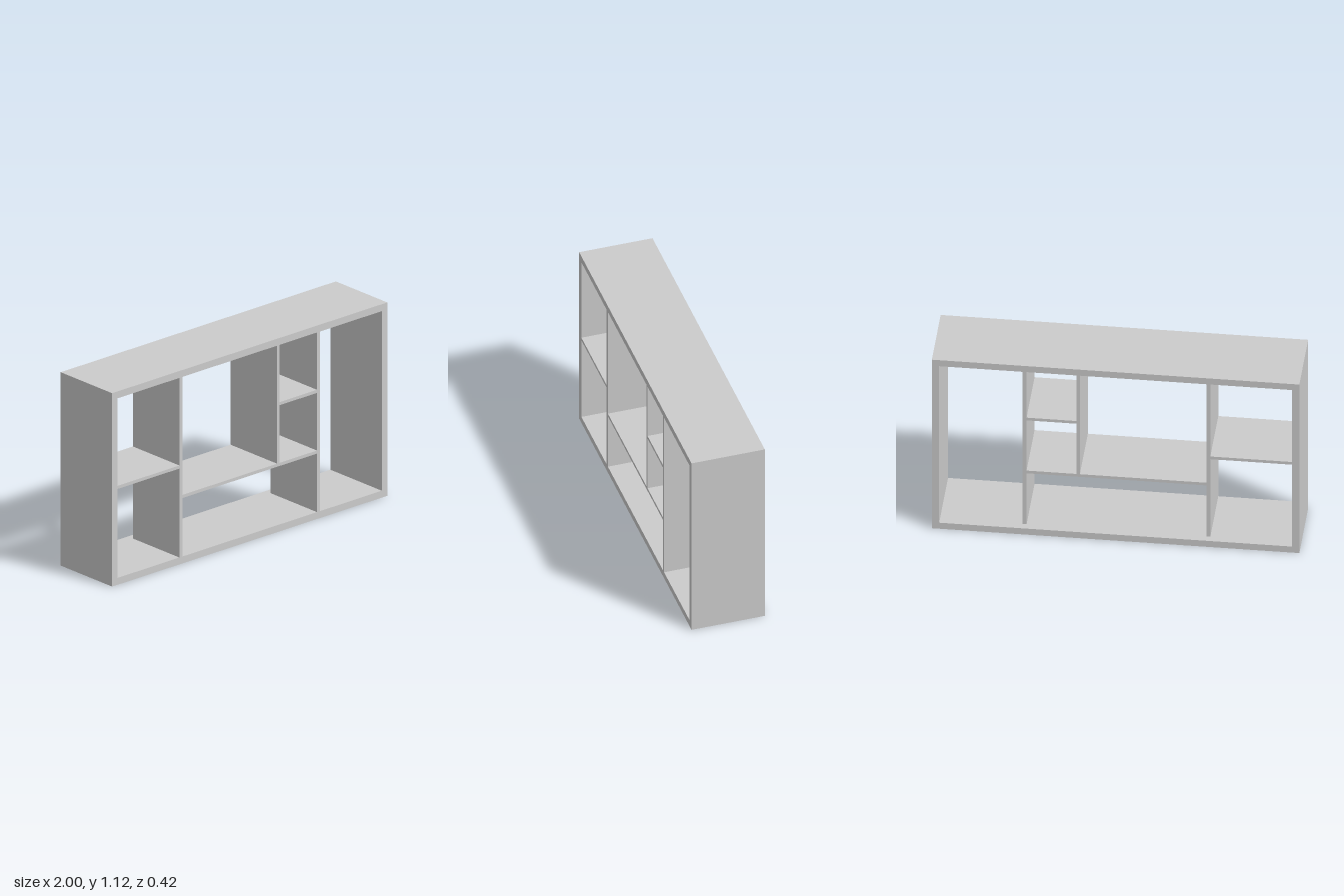
import * as THREE from 'three';

const W = 2, H = 1.124, D = 0.416; // overall size
const T = 0.04;                    // frame thickness
const BACK_INSET = 0.04;           // inner boards stop short of the back
const DIVIDER_T = 0.022, SHELF_T = 0.018;

export function createModel() {
  const group = new THREE.Group();
  group.name = 'shelfUnit';
  const material = new THREE.MeshStandardMaterial({ color: 0xcccccc });

  const add = (name, geometry) => {
    const mesh = new THREE.Mesh(geometry, material);
    mesh.name = name;
    group.add(mesh);
    return mesh;
  };

  // Outer frame, open at front and back
  const rect = (Type, x, y0, y1) => new Type([
    new THREE.Vector2(-x, y0), new THREE.Vector2(x, y0),
    new THREE.Vector2(x, y1), new THREE.Vector2(-x, y1),
  ]);
  const outline = rect(THREE.Shape, W / 2, 0, H);
  outline.holes.push(rect(THREE.Path, W / 2 - T, T, H - T));
  const frame = new THREE.ExtrudeGeometry(outline, { depth: D, bevelEnabled: false });
  add('outerFrame', frame.translate(0, 0, -D / 2));

  // Inner boards, flush with the front
  const board = (name, x0, x1, y0, y1) => {
    const mesh = add(name, new THREE.BoxGeometry(x1 - x0, y1 - y0, D - BACK_INSET));
    mesh.position.set((x0 + x1) / 2, (y0 + y1) / 2, BACK_INSET / 2);
  };
  const divider = (name, x, y0, y1, t = DIVIDER_T) => board(name, x - t / 2, x + t / 2, y0, y1);
  const shelf = (name, y, x0, x1) => board(name, x0, x1, y - SHELF_T / 2, y + SHELF_T / 2);

  // Upright dividers
  const inner = 0.5 - DIVIDER_T / 2, outer = 0.5 + DIVIDER_T / 2;
  divider('rightDivider', -0.5, T, H - T);
  divider('leftDivider', 0.5, T, H - T);
  divider('smallDivider', 0.208, 0.389 + SHELF_T / 2, H - T, SHELF_T);

  // Shelves
  shelf('sideShelf', 0.566, -W / 2 + T, -outer);
  shelf('middleShelf', 0.389, -inner, inner);
  shelf('smallShelf', 0.742, 0.208 + SHELF_T / 2, inner);

  return group;
}
